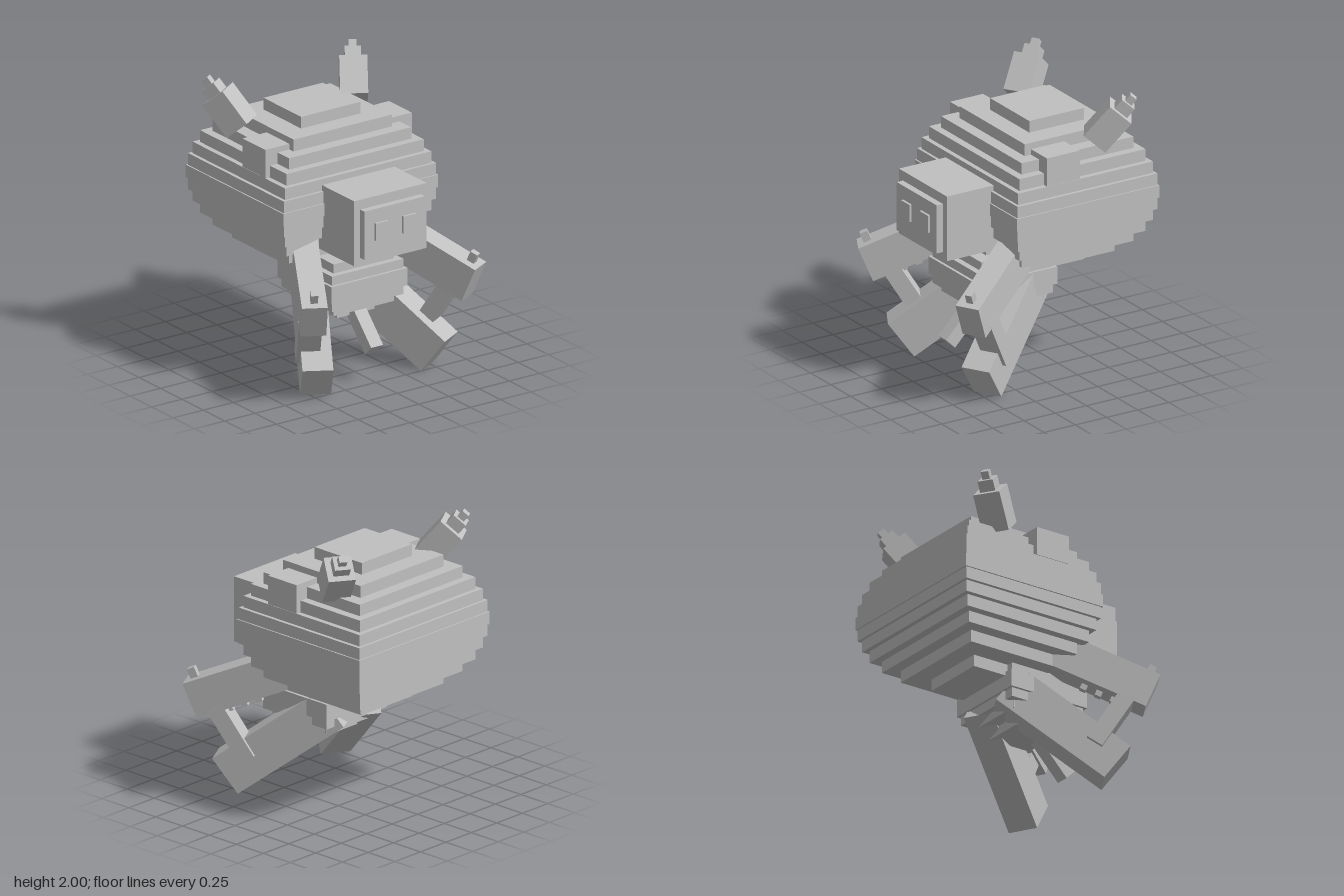
import * as THREE from 'three';

const grey = new THREE.MeshStandardMaterial({ color: 0xc0c0c0 });
grey.name = 'stone grey';
const rad = THREE.MathUtils.degToRad;

// Box from its minimum and maximum corners
function block(parent, name, [x0, y0, z0], [x1, y1, z1]) {
  const mesh = new THREE.Mesh(new THREE.BoxGeometry(x1 - x0, y1 - y0, z1 - z0), grey);
  mesh.name = name;
  mesh.position.set((x0 + x1) / 2, (y0 + y1) / 2, (z0 + z1) / 2);
  parent.add(mesh);
}

// Stack of stepped slabs: each layer is [bottom, top, half width, half depth]
function stack(name, z, layers) {
  const group = new THREE.Group();
  group.name = name;
  for (const [y0, y1, w, d] of layers) {
    block(group, name + 'Layer', [-w, y0, z - d], [w, y1, z + d]);
  }
  return group;
}

// Group at a joint whose local +z points along the limb
function limb(name, side, [x, y, z], yaw, pitch) {
  const group = new THREE.Group();
  group.name = name;
  group.position.set(side * x, y, z);
  group.rotation.set(rad(pitch), rad(side * yaw), 0, 'YXZ');
  return group;
}

export function createModel() {
  const model = new THREE.Group();
  model.name = 'armouredCreature';

  // Big stepped shell, mirrored above and below its middle
  const mid = 1.26;
  const steps = [
    [0, 0.045, 0.64, 0.57], [0.045, 0.13, 0.63, 0.56], [0.13, 0.213, 0.605, 0.54],
    [0.213, 0.298, 0.567, 0.505], [0.298, 0.38, 0.505, 0.447],
    [0.38, 0.466, 0.407, 0.36], [0.466, 0.55, 0.245, 0.22],
  ];
  const shellLayers = steps.map(([a, b, w, d], i) => [mid + (i ? a : -b), mid + b, w, d]);
  for (const [a, b, w, d] of steps.slice(1)) shellLayers.push([mid - b, mid - a, w, d]);
  model.add(stack('shell', -0.245, shellLayers));

  // Smaller stepped belly
  model.add(stack('belly', 0.11, [
    [0.425, 0.49, 0.155, 0.155], [0.49, 0.545, 0.25, 0.25], [0.545, 0.61, 0.295, 0.295],
    [0.61, 0.735, 0.315, 0.315], [0.735, 0.8, 0.295, 0.295], [0.8, 0.865, 0.25, 0.25],
    [0.865, 0.92, 0.155, 0.155],
  ]));

  // Snout with two raised pads
  block(model, 'snout', [-0.3, 0.96, 0.2], [0.3, 1.43, 0.67]);
  block(model, 'snoutPlate', [-0.25, 1.01, 0.67], [0.25, 1.36, 0.72]);

  // Rod under the belly, leaning forward
  const rod = limb('bellyRod', 1, [0, 0.231, 0.48], 0, 46);
  block(rod, 'rod', [-0.05, -0.05, -0.45], [0.05, 0.05, 0]);
  model.add(rod);

  for (const s of [1, -1]) {
    const cx = s * 0.115;
    block(model, 'snoutPad', [cx - 0.053, 1.135, 0.72], [cx + 0.053, 1.26, 0.738]);

    // Shoulder block on the shell
    const sx = s * 0.506;
    block(model, 'shoulderBlock', [sx - 0.1, 1.475, -0.2], [sx + 0.1, 1.68, 0.065]);

    // Stepped horn
    const horn = limb('horn', s, [0.463, 1.669, -0.409], 147, -50);
    block(horn, 'hornBase', [-0.095, -0.095, 0], [0.095, 0.095, 0.275]);
    block(horn, 'hornMiddle', [-0.055, -0.055, 0.275], [0.055, 0.055, 0.355]);
    block(horn, 'hornTip', [-0.027, -0.027, 0.355], [0.027, 0.027, 0.41]);
    model.add(horn);

    // Leg, with its origin at the foot end
    const leg = limb('leg', s, [0.507, 0.12, 0.526], 30, 36.6);
    block(leg, 'legBox', [-0.105, -0.149, -0.915], [0.105, 0.149, 0]);
    model.add(leg);

    // Upper arm, with its origin at the elbow end, a stud on top and three below
    const arm = limb('upperArm', s, [0.661, 0.65, 0.712], 29, 22.8);
    block(arm, 'armBox', [-0.088, -0.13, -0.85], [0.088, 0.13, 0]);
    block(arm, 'elbowStud', [-0.025, 0.13, -0.1], [0.025, 0.2, -0.045]);
    for (const t of [0.22, 0.33, 0.44]) {
      block(arm, 'armStud', [-0.022, -0.17, -t - 0.022], [0.022, -0.13, -t + 0.022]);
    }
    model.add(arm);

    // Forearm between upper arm and foot
    const forearm = limb('forearm', s, [0.5, 0.34, 0.41], 30, -58);
    block(forearm, 'forearmBox', [-0.08, -0.06, -0.1], [0.08, 0.06, 0.33]);
    model.add(forearm);
  }
  return model;
}
